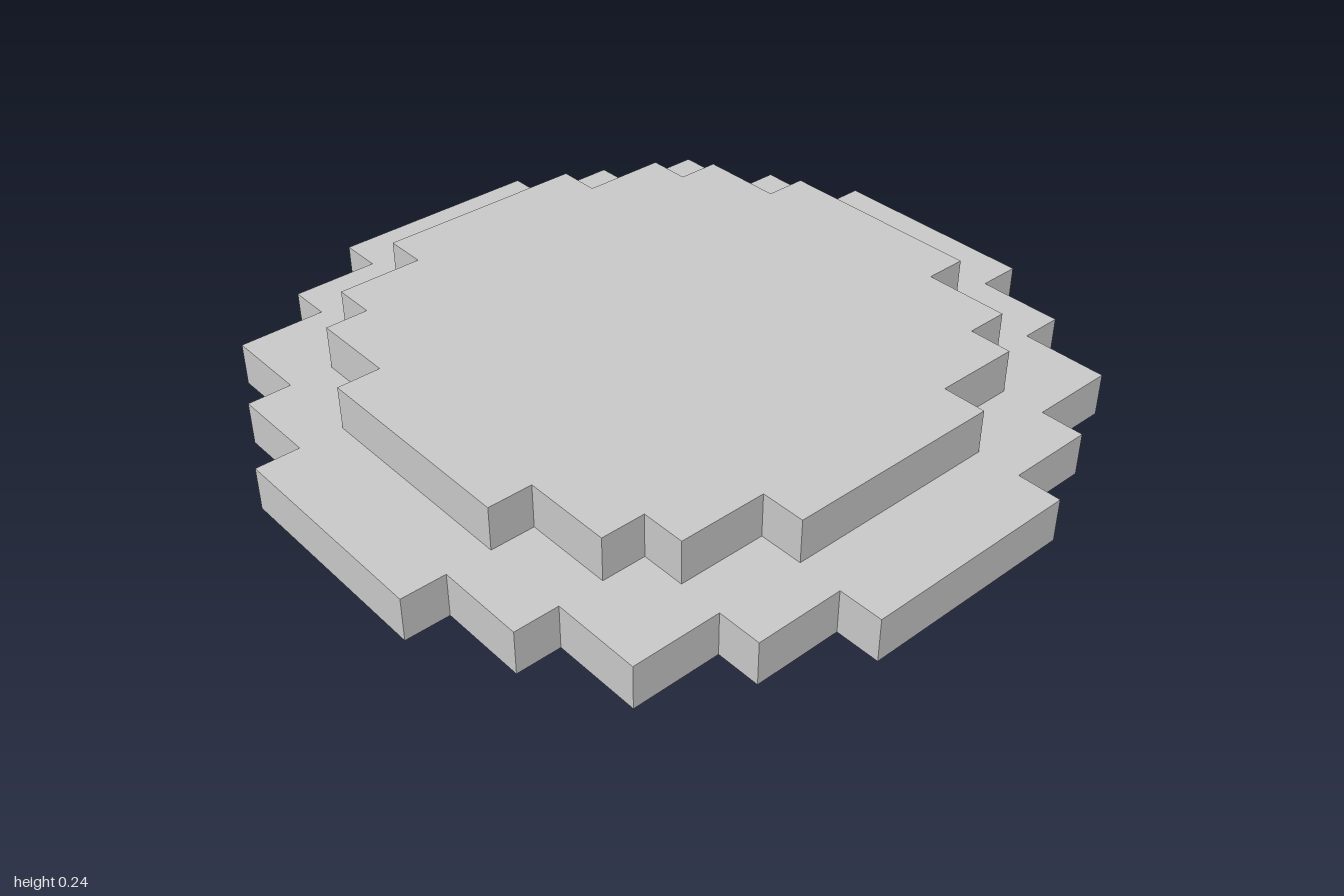
import * as THREE from 'three';

// The model is laid out on a grid of 17 blocks across.
const U = 2 / 17;

// Stepped disc, one block thick. Corners describe one quadrant, from +y round to +x.
function steppedDisc(name, corners, level, material) {
  const quadrant = [];
  corners.forEach(([x, y], i) => {
    if (i > 0) quadrant.push([corners[i - 1][0], y]); // inner corner of the step
    quadrant.push([x, y]);
  });

  // Repeat the quadrant by quarter turns
  const outline = [];
  let turned = quadrant;
  for (let q = 0; q < 4; q++) {
    outline.push(...turned.map(([x, y]) => new THREE.Vector2(x * U, y * U)));
    turned = turned.map(([x, y]) => [y, -x]);
  }

  const geometry = new THREE.ExtrudeGeometry(new THREE.Shape(outline), { depth: U, bevelEnabled: false });
  geometry.rotateX(-Math.PI / 2);
  const mesh = new THREE.Mesh(geometry, material);
  mesh.name = name;
  mesh.position.y = level * U;
  return mesh;
}

export function createModel() {
  const group = new THREE.Group();
  group.name = 'steppedPlatform';
  const material = new THREE.MeshStandardMaterial({ color: 0xcccccc, flatShading: true });

  // Wide lower tier
  group.add(steppedDisc('lowerTier', [[2.5, 8.5], [4.5, 7.5], [6.5, 6.5], [7.5, 4.5], [8.5, 2.5]], 0, material));
  // Narrower upper tier
  group.add(steppedDisc('upperTier', [[2.5, 6.5], [4.5, 5.5], [5.5, 4.5], [6.5, 2.5]], 1, material));

  return group;
}
